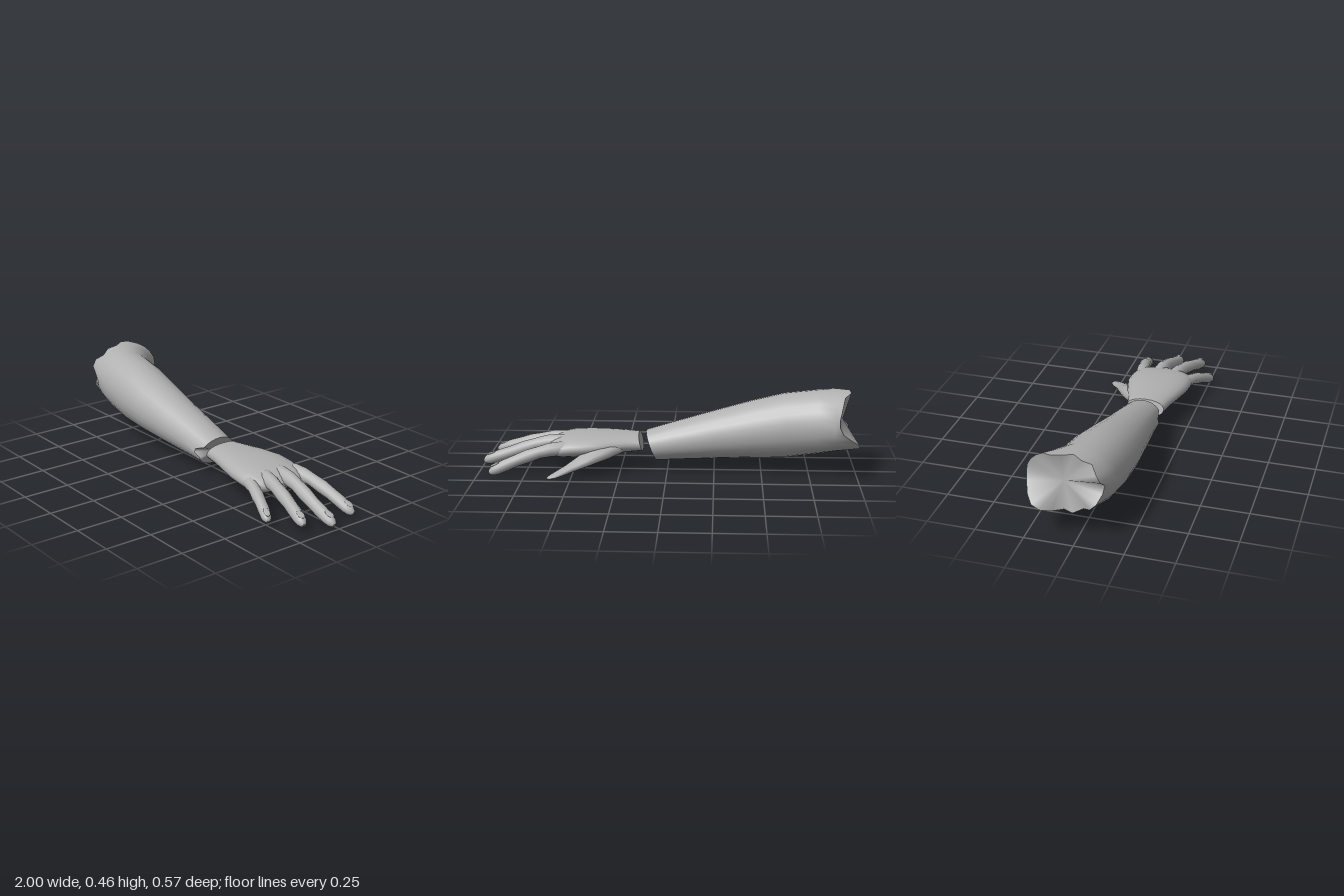
import * as THREE from 'three';

const UP = new THREE.Vector3(0, 1, 0);

// Skin a row of sections [x, y, z, halfHeight, halfWidth, lean]. Lean shifts the top of a ring along x.
// Options: sides, dir (fixed axis, otherwise the path tangent), power (squareness), edge(ring, side) -> x shift.
function loft(sections, { sides = 12, dir = null, power = 1, edge = () => 0, startDepth = 0 } = {}) {
  const centres = sections.map((s) => new THREE.Vector3(s[0], s[1], s[2]));
  const pos = [], index = [];
  const last = sections.length - 1;
  const bend = (v) => Math.sign(v) * Math.abs(v) ** power;
  sections.forEach(([, , , h, w, lean = 0], i) => {
    const t = dir || centres[Math.min(i + 1, last)].clone().sub(centres[Math.max(i - 1, 0)]).normalize();
    const side = new THREE.Vector3().crossVectors(t, UP).normalize();
    const up = new THREE.Vector3().crossVectors(side, t);
    for (let j = 0; j < sides; j++) {
      const a = (j / sides) * Math.PI * 2;
      const c = bend(Math.cos(a)), s = bend(Math.sin(a));
      const p = centres[i].clone().addScaledVector(side, c * w).addScaledVector(up, s * h);
      p.x += lean * s + edge(i, j);
      pos.push(p.x, p.y, p.z);
    }
  });
  for (let i = 0; i < last; i++) {
    for (let j = 0; j < sides; j++) {
      const k = (j + 1) % sides;
      const a = i * sides + j, b = i * sides + k, c = a + sides, d = b + sides;
      index.push(a, c, b, b, c, d);
    }
  }
  // End caps have their own vertices so the rims stay crisp
  for (const ring of [0, last]) {
    const base = pos.length / 3;
    for (let j = 0; j < sides * 3; j++) pos.push(pos[ring * sides * 3 + j]);
    const c = centres[ring];
    pos.push(c.x + (ring ? 0 : startDepth), c.y, c.z);
    for (let j = 0; j < sides; j++) {
      const k = (j + 1) % sides;
      if (ring) index.push(base + sides, base + k, base + j);
      else index.push(base + sides, base + j, base + k);
    }
  }
  const g = new THREE.BufferGeometry();
  g.setAttribute('position', new THREE.Float32BufferAttribute(pos, 3));
  g.setIndex(index);
  g.computeVertexNormals();
  return g;
}

export function createModel() {
  const skin = new THREE.MeshStandardMaterial({ color: 0xb0b0b0 });
  skin.name = 'skin grey';
  skin.side = THREE.DoubleSide;
  const model = new THREE.Group();
  model.name = 'arm';
  const add = (name, geometry, parent = model) => {
    const mesh = new THREE.Mesh(geometry, skin);
    mesh.name = name;
    parent.add(mesh);
    return mesh;
  };
  const X = new THREE.Vector3(1, 0, 0);

  // Forearm: torn, flared elbow end and slanted wrist end with a notch in front
  const tear = [0.04, -0.01, -0.01, 0.03, 0.01, 0.03, 0, -0.005, 0.03, 0.04, 0.05, 0.06,
    0.06, 0.04, -0.01, -0.05, -0.05, -0.02, 0.02, -0.01, 0.02, -0.02, -0.02, 0.02];
  const forearm = [
    [-0.95, 0.315, -0.065, 0.155, 0.198],
    [-0.87, 0.3, -0.036, 0.165, 0.19],
    [-0.79, 0.282, -0.004, 0.171, 0.166],
    [-0.62, 0.257, 0.012, 0.173, 0.163],
    [-0.45, 0.231, 0.024, 0.154, 0.153],
    [-0.25, 0.197, 0.03, 0.129, 0.133],
    [-0.05, 0.161, 0.031, 0.101, 0.116, 0.015],
    [0.085, 0.135, 0.033, 0.08, 0.107, 0.03],
  ];
  add('forearm', loft(forearm, {
    sides: 24, dir: X, startDepth: 0.03,
    edge: (i, j) => (i === 0 ? tear[j] : i === 7 && (j === 0 || j === 1) ? -0.05 : 0),
  }));

  // Palm and back of the hand, closing in a rounded edge between the fingers
  const hand = new THREE.Group();
  hand.name = 'hand';
  model.add(hand);
  const palm = [
    [0.142, 0.155, 0.037, 0.045, 0.103, 0.012],
    [0.22, 0.154, 0.036, 0.051, 0.117],
    [0.32, 0.152, 0.032, 0.055, 0.148],
    [0.42, 0.147, 0.03, 0.06, 0.172],
    [0.51, 0.14, 0.034, 0.061, 0.174],
    [0.56, 0.134, 0.034, 0.056, 0.168],
    [0.6, 0.129, 0.026, 0.046, 0.145],
    [0.628, 0.127, 0.016, 0.03, 0.115],
    [0.642, 0.126, 0.012, 0.01, 0.08],
  ];
  add('palm', loft(palm, { sides: 24, dir: X, power: 0.88 }), hand);

  // Fingers: wide roots, knuckle bulges and rounded tips along an arched path
  const thickness = [[0, 0.9], [0.15, 1.14], [0.28, 1.1], [0.4, 0.96], [0.54, 1.04], [0.67, 0.93],
    [0.8, 0.95], [0.9, 0.88], [0.95, 0.74], [0.985, 0.48], [1, 0.2]];
  const fingers = [
    ['index finger', [[0.49, 0.145, -0.08], [0.64, 0.133, -0.108], [0.8, 0.082, -0.135], [0.937, 0.021, -0.155]], 0.034],
    ['middle finger', [[0.5, 0.158, 0.002], [0.66, 0.147, 0.008], [0.84, 0.088, 0.021], [0.996, 0.033, 0.028]], 0.035],
    ['ring finger', [[0.49, 0.158, 0.083], [0.64, 0.147, 0.11], [0.8, 0.106, 0.143], [0.945, 0.056, 0.178]], 0.034],
    ['little finger', [[0.44, 0.143, 0.142], [0.57, 0.132, 0.185], [0.68, 0.096, 0.225], [0.79, 0.044, 0.267]], 0.031],
  ];
  for (const [name, path, r] of fingers) {
    const curve = new THREE.CatmullRomCurve3(path.map((p) => new THREE.Vector3(...p)));
    const rings = thickness.map(([t, k]) => [...curve.getPointAt(t).toArray(), r * k, r * k]);
    add(name, loft(rings), hand);

    // Nail: thin oval plate lying on the top of the tip
    const t = curve.getTangentAt(0.9);
    const side = new THREE.Vector3().crossVectors(t, UP).normalize();
    const up = new THREE.Vector3().crossVectors(side, t);
    const nail = add(name + ' nail', new THREE.SphereGeometry(1, 12, 6), hand);
    nail.scale.set(0.028, 0.004, r * 0.55);
    nail.quaternion.setFromRotationMatrix(new THREE.Matrix4().makeBasis(t, up, side));
    nail.position.copy(curve.getPointAt(0.9)).addScaledVector(up, r * 0.85);
  }

  // Thumb: broad at the root, flat and spread out to the back
  const thumb = [
    [0.24, 0.148, -0.02, 0.035, 0.05],
    [0.32, 0.128, -0.068, 0.042, 0.066],
    [0.4, 0.104, -0.118, 0.037, 0.066],
    [0.46, 0.08, -0.163, 0.027, 0.05],
    [0.51, 0.062, -0.202, 0.02, 0.035],
    [0.55, 0.049, -0.235, 0.015, 0.032],
    [0.587, 0.037, -0.262, 0.01, 0.027],
    [0.606, 0.032, -0.276, 0.006, 0.016],
    [0.611, 0.031, -0.28, 0.003, 0.006],
  ];
  add('thumb', loft(thumb), hand);

  return model;
}
